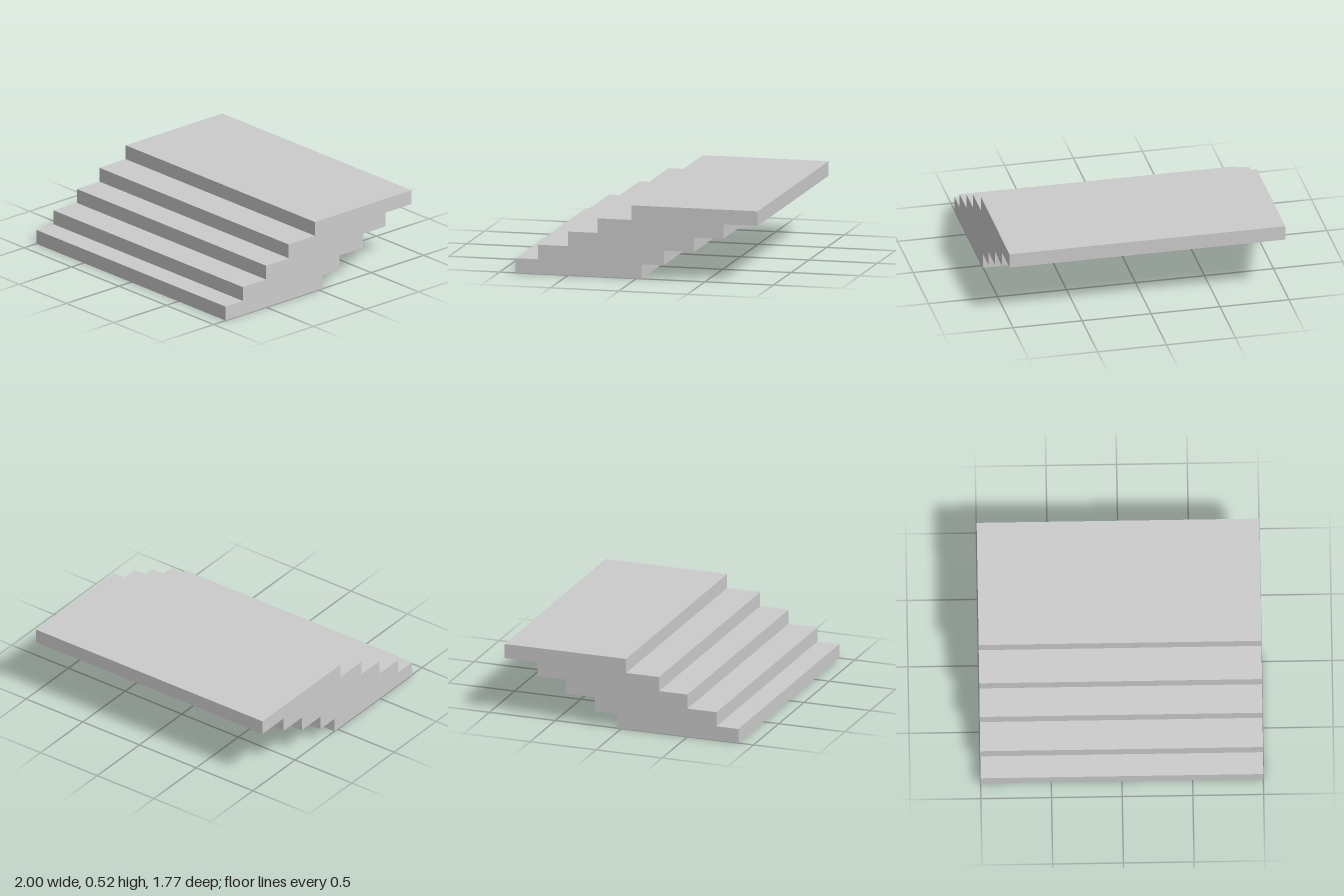
import * as THREE from 'three';

export function createModel() {
  const group = new THREE.Group();
  const rise = 0.105, width = 2, treadDepth = 0.92;
  // Front edge (z) of each step, lowest first; every step has the same depth
  const fronts = [0.885, 0.72, 0.5, 0.285, 0.035];

  // Side profile: up the front of the steps, then down the stepped underside
  const profile = [];
  fronts.forEach((z, i) => profile.push([z, i * rise], [z, (i + 1) * rise]));
  for (let i = fronts.length - 1; i >= 0; i--) {
    const z = fronts[i] - treadDepth;
    profile.push([z, (i + 1) * rise], [z, i * rise]);
  }
  const shape = new THREE.Shape(profile.map(([z, y]) => new THREE.Vector2(z, y)));

  // Extrude across the width and turn so the profile runs along z
  const geometry = new THREE.ExtrudeGeometry(shape, { depth: width, bevelEnabled: false });
  geometry.translate(0, 0, -width / 2);
  geometry.rotateY(-Math.PI / 2);

  const stairs = new THREE.Mesh(
    geometry,
    new THREE.MeshStandardMaterial({ color: 0xcccccc, flatShading: true })
  );
  stairs.name = 'stairs';
  group.add(stairs);
  group.name = 'staircase';
  return group;
}
